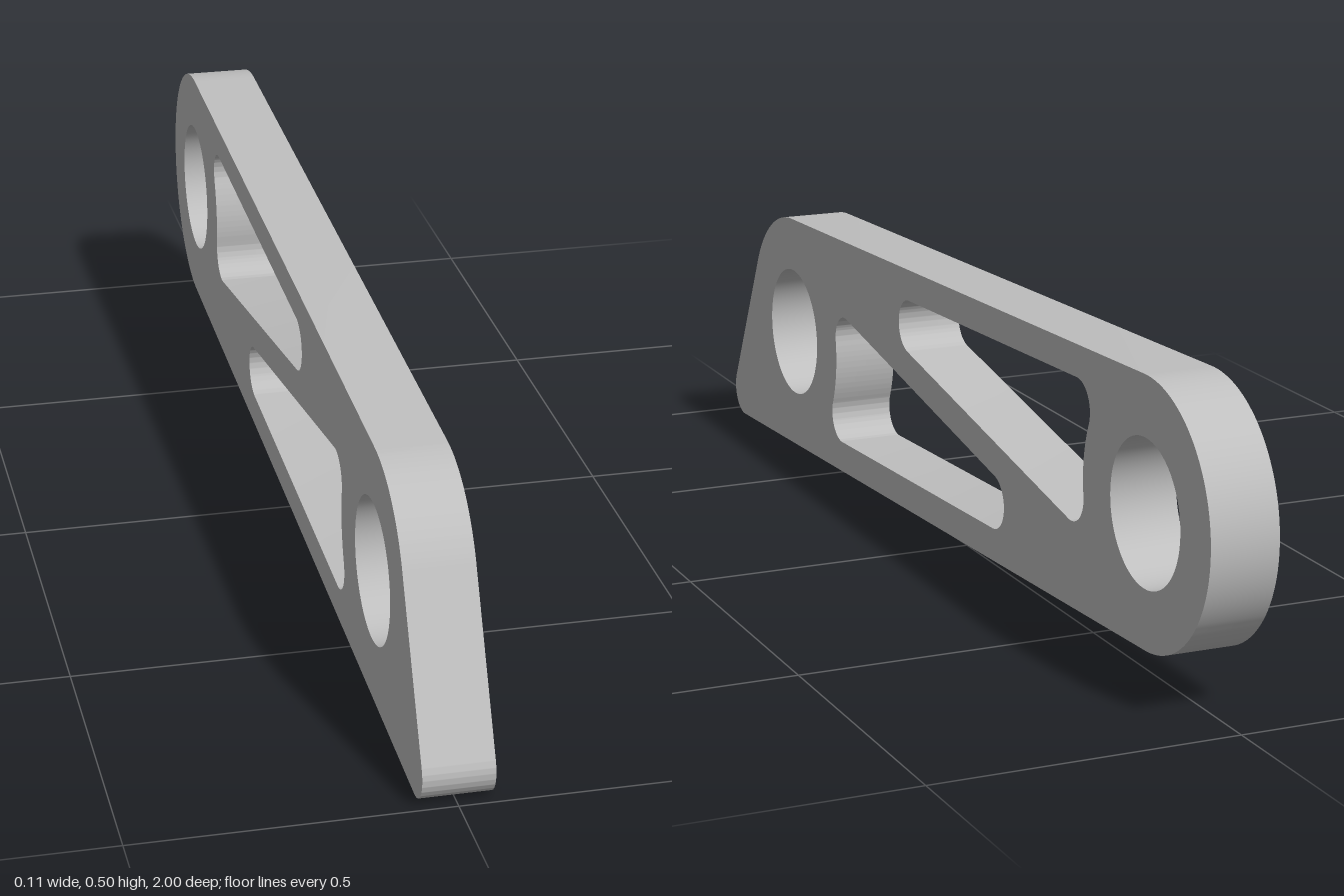
import * as THREE from 'three';
import { toCreasedNormals } from 'three/addons/utils/BufferGeometryUtils.js';

const THICKNESS = 0.112;
const BOSS_R = 0.213, BORE_R = 0.117, FILLET_R = 0.046;
const FRONT = [-0.674, 0.23], REAR = [0.787, 0.287]; // bore centres (-z, y)

// Closed outline of tangent arcs, counterclockwise; a negative radius is a concave arc
function tangentOutline(path, circles) {
  const n = circles.length;
  const normals = circles.map(([x, y, r], i) => {
    const [bx, by, br] = circles[(i + 1) % n];
    const d = Math.hypot(bx - x, by - y);
    const ratio = THREE.MathUtils.clamp((r - br) / d, -1, 1);
    return Math.atan2(by - y, bx - x) - Math.acos(ratio);
  });
  circles.forEach(([x, y, r], i) => {
    const turn = r < 0 ? Math.PI : 0;
    path.absarc(x, y, Math.abs(r), normals[(i + n - 1) % n] + turn, normals[i] + turn, r < 0);
  });
  path.closePath();
  return path;
}

// Fillet circle resting against the front boss at the given angle
function bossFillet(angle) {
  const d = BOSS_R + FILLET_R;
  return [FRONT[0] + d * Math.cos(angle), FRONT[1] + d * Math.sin(angle), FILLET_R];
}

export function createModel() {
  const model = new THREE.Group();
  model.name = 'linkArm';
  const grey = new THREE.MeshStandardMaterial({ color: 0xbfbfbf });
  grey.name = 'grey metal';

  // Outer profile: two bosses and a pointed toe
  const profile = tangentOutline(new THREE.Shape(), [
    [...REAR, BOSS_R],
    [...FRONT, BOSS_R],
    [-0.953, 0.049, 0.047],
  ]);

  // Bores
  for (const [x, y] of [FRONT, REAR]) {
    profile.holes.push(new THREE.Path().absarc(x, y, BORE_R, 0, Math.PI * 2, false));
  }

  // Lightening windows: the second is the first turned half round
  const lowerWindow = [
    bossFillet(0.144),
    [...FRONT, -BOSS_R],
    bossFillet(-0.42),
    [0.232, 0.152, FILLET_R],
  ];
  const upperWindow = lowerWindow.map(([x, y, r]) =>
    [FRONT[0] + REAR[0] - x, FRONT[1] + REAR[1] - y, r]);
  for (const circles of [lowerWindow, upperWindow]) {
    profile.holes.push(tangentOutline(new THREE.Path(), circles));
  }

  // Plate, extruded along x
  const extruded = new THREE.ExtrudeGeometry(profile, {
    depth: THICKNESS, bevelEnabled: false, curveSegments: 32,
  });
  extruded.translate(0, 0, -THICKNESS / 2).rotateY(Math.PI / 2);
  const plate = new THREE.Mesh(toCreasedNormals(extruded, 0.5), grey);
  plate.name = 'armPlate';
  model.add(plate);
  return model;
}
